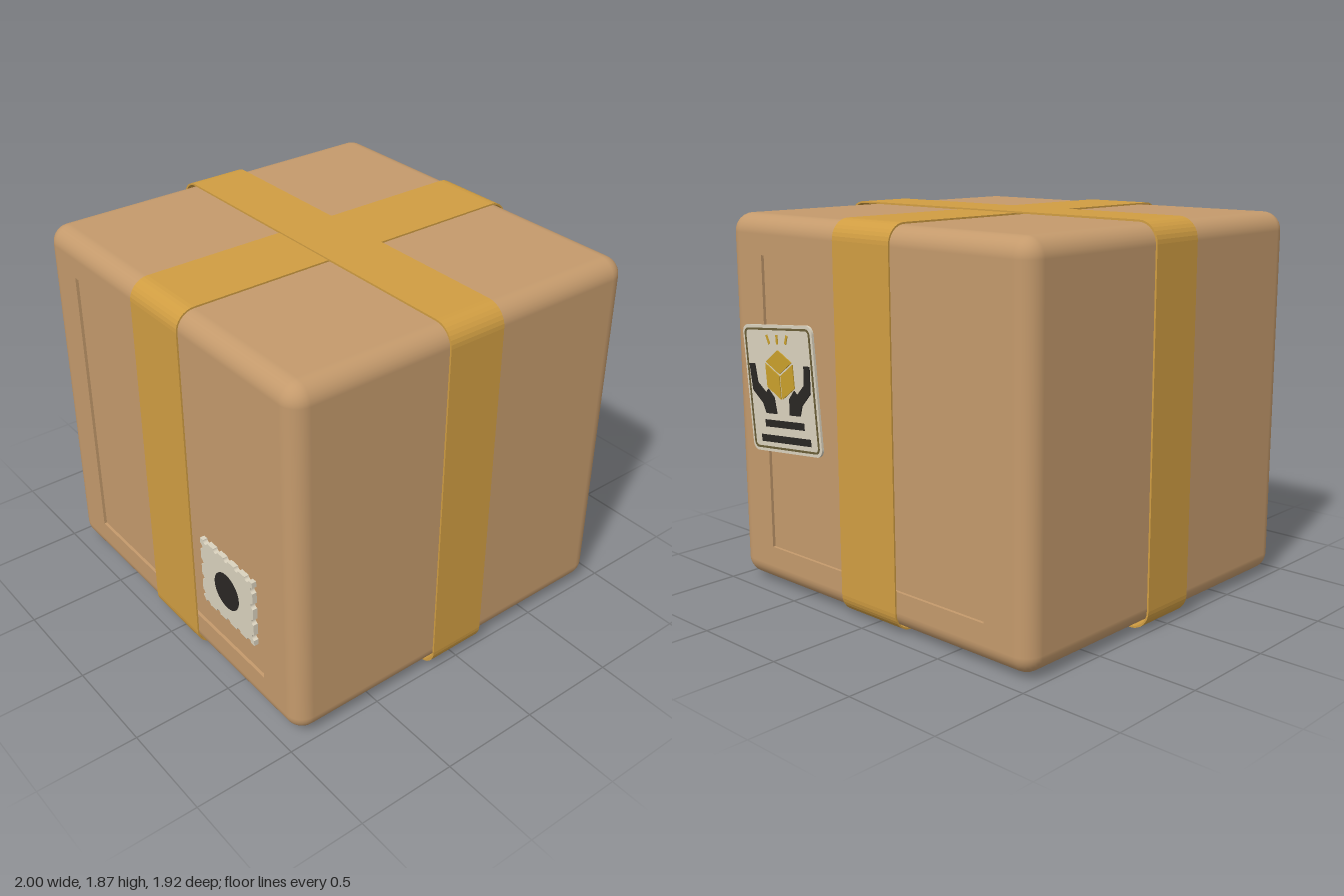
import * as THREE from 'three';

const mat = (color, extra = {}) => new THREE.MeshStandardMaterial({ color, ...extra });
const CARD = mat(0xc49a6c), TAPE = mat(0xd09d42), PAPER = mat(0xdad2be);
const DARK = mat(0x2a2724), GOLD = mat(0xc9a02c), OLIVE = mat(0x6b5f38);
const HX = 0.98, HY = 0.915, HZ = 0.945, R = 0.09, CY = 0.935; // carton half sizes
const PANEL = 0.725, DEPTH = 0.015;                            // recessed panels

function add(parent, name, geo, material, x = 0, y = 0, z = 0) {
  const m = new THREE.Mesh(geo, material);
  m.name = name;
  m.position.set(x, y, z);
  parent.add(m);
  return m;
}

const extrude = (shape, depth, curveSegments = 8) =>
  new THREE.ExtrudeGeometry(shape, { depth, bevelEnabled: false, curveSegments });

function roundRect(hx, hy, r, Type = THREE.Shape) {
  const s = new Type();
  [[1, -1], [1, 1], [-1, 1], [-1, -1]].forEach(([sx, sy], i) =>
    s.absarc(sx * (hx - r), sy * (hy - r), r, (i - 1) * Math.PI / 2, i * Math.PI / 2, false));
  s.closePath();
  return s;
}

function frame(hx, hy, r, t) {
  const s = roundRect(hx, hy, r);
  s.holes.push(roundRect(hx - t, hy - t, r - t, THREE.Path));
  return s;
}

const polygon = pts => new THREE.Shape(pts.map(p => new THREE.Vector2(...p)));

// Rounded carton skin: rounded-rectangle loops from back to front, open at both panels
function cartonGeometry() {
  const K = 8, pos = [], nor = [], idx = [];
  const loops = [];
  for (const s of [-1, 1]) {
    const half = [{ hx: PANEL, hy: PANEL, r: 0, z: s * HZ, a: s * Math.PI / 2 }];
    for (let k = K; k >= 0; k--) {
      const a = s * k / K * Math.PI / 2, r = R * Math.cos(a);
      half.push({ hx: HX - R + r, hy: HY - R + r, r, z: s * (HZ - R) + R * Math.sin(a), a });
    }
    loops.push(...(s < 0 ? half : half.reverse()));
  }
  const corners = [[1, 1], [-1, 1], [-1, -1], [1, -1]];
  const n = 4 * (K + 1);
  loops.forEach(({ hx, hy, r, z, a }, i) => {
    corners.forEach(([sx, sy], q) => {
      for (let k = 0; k <= K; k++) {
        const f = (q + k / K) * Math.PI / 2, c = Math.cos(f), s = Math.sin(f);
        pos.push(sx * (hx - r) + r * c, sy * (hy - r) + r * s, z);
        nor.push(c * Math.cos(a), s * Math.cos(a), Math.sin(a));
      }
    });
    if (i === loops.length - 1) return;
    for (let j = 0; j < n; j++) {
      const p = i * n + j, q = i * n + (j + 1) % n;
      idx.push(p, q, q + n, p, q + n, p + n);
    }
  });
  const g = new THREE.BufferGeometry();
  g.setAttribute('position', new THREE.Float32BufferAttribute(pos, 3));
  g.setAttribute('normal', new THREE.Float32BufferAttribute(nor, 3));
  g.setIndex(idx);
  return g;
}

// Recessed panel: floor and four thin walls facing inward
function recess() {
  const g = new THREE.Group();
  g.name = 'recessedPanel';
  add(g, 'panelFloor', new THREE.PlaneGeometry(2 * PANEL, 2 * PANEL), CARD, 0, 0, -DEPTH);
  for (let i = 0; i < 4; i++) {
    const wall = new THREE.PlaneGeometry(2 * PANEL, DEPTH);
    wall.rotateX(Math.PI / 2).translate(0, PANEL, -DEPTH / 2).rotateZ(i * Math.PI / 2);
    add(g, 'panelWall', wall, CARD);
  }
  return g;
}

// Stamp outline with half-round notches on every side
function stampShape(w, h, r) {
  const s = new THREE.Shape();
  const sides = [[-w / 2, -h / 2, w, 5], [w / 2, -h / 2, h, 4], [w / 2, h / 2, w, 5], [-w / 2, h / 2, h, 4]];
  sides.forEach(([x, y, len, count], i) => {
    const d = i * Math.PI / 2;
    if (i) s.lineTo(x, y); else s.moveTo(x, y);
    for (let k = 0; k < count; k++) {
      const t = len * (k + 0.5) / count;
      s.absarc(x + Math.cos(d) * t, y + Math.sin(d) * t, r, d + Math.PI, d, true);
    }
  });
  s.closePath();
  return s;
}

// Care label: bordered card with a small box held between two hands
function careLabel() {
  const g = new THREE.Group();
  g.name = 'careLabel';
  const T = 0.012;
  add(g, 'labelCard', extrude(roundRect(0.265, 0.31, 0.04), T), PAPER);
  add(g, 'labelBorder', extrude(frame(0.25, 0.295, 0.03, 0.01), 0.003), OLIVE, 0, 0, T);
  for (let i = 0; i < 3; i++) {
    const a = Math.PI / 6 + i * Math.PI * 2 / 3, r = 0.12;
    const at = k => [r * Math.cos(a + k * Math.PI / 3), r * Math.sin(a + k * Math.PI / 3)];
    const face = extrude(polygon([[0, 0], at(0), at(1), at(2)]), 0.005);
    face.scale(0.95, 0.95, 1).translate(at(1)[0] * 0.05, at(1)[1] * 0.05, 0);
    add(g, 'boxIconFace', face, GOLD, 0, 0.07, T);
    const ray = add(g, 'ray', new THREE.BoxGeometry(0.014, 0.045, 0.006), GOLD, (i - 1) * 0.07, 0.24, T);
    ray.rotation.z = (1 - i) * 0.4;
  }
  for (const s of [-1, 1]) {
    const pts = [[0.23, 0.12], [0.19, 0.12], [0.18, 0.03], [0.12, -0.02], [0.1, 0.0],
      [0.06, -0.04], [0.05, -0.12], [0.13, -0.12], [0.15, -0.07], [0.22, -0.01]];
    add(g, 'hand', extrude(polygon(pts.map(([x, y]) => [s * x, y])), 0.006), DARK, 0, 0, T);
  }
  add(g, 'printBar', new THREE.BoxGeometry(0.3, 0.035, 0.004), DARK, 0, -0.17, T);
  add(g, 'printBar', new THREE.BoxGeometry(0.38, 0.035, 0.004), DARK, 0, -0.245, T);
  return g;
}

export function createModel() {
  const model = new THREE.Group();
  model.name = 'parcel';

  // Carton with a recessed panel front and back
  add(model, 'carton', cartonGeometry(), CARD, 0, CY, 0);
  for (const s of [1, -1]) {
    const p = recess();
    p.position.set(0, CY, s * HZ);
    if (s < 0) p.rotation.y = Math.PI;
    model.add(p);
  }

  // Two crossing bands of tape
  const bandX = extrude(frame(1.0, 0.934, 0.1, 0.009), 0.3, 4).translate(0, 0, -0.15);
  add(model, 'tapeAroundSides', bandX, TAPE, 0, CY - 0.001, 0);
  const bandZ = extrude(frame(0.957, 0.926, 0.095, 0.008), 0.37, 4).translate(0, 0, -0.185);
  add(model, 'tapeAroundFront', bandZ, TAPE, 0, CY, 0).rotation.y = Math.PI / 2;

  // Stamp low on the front
  const stamp = new THREE.Group();
  stamp.name = 'stamp';
  stamp.position.set(0.465, 0.55, HZ - DEPTH);
  add(stamp, 'stampPaper', extrude(stampShape(0.41, 0.365, 0.016), 0.024), PAPER);
  add(stamp, 'stampDot', new THREE.CylinderGeometry(0.095, 0.095, 0.006, 40).rotateX(Math.PI / 2), DARK, 0, 0, 0.024);
  model.add(stamp);

  // Label on the back, slightly turned
  const label = careLabel();
  label.position.set(0.59, 1.03, -HZ);
  label.rotation.set(0, Math.PI, 0.09);
  model.add(label);

  // Small printed marks under one corner
  const marks = new THREE.Group();
  marks.name = 'bottomMarks';
  marks.position.set(-0.78, CY - HY - 0.002, 0.76);
  marks.rotation.x = Math.PI / 2;
  for (const [x, y] of [[0.05, 0.04], [-0.05, 0.03]])
    add(marks, 'ringMark', new THREE.RingGeometry(0.022, 0.038, 24), mat(0x2a2724, { side: THREE.DoubleSide }), x, y);
  for (const x of [-0.06, -0.02])
    add(marks, 'barMark', new THREE.BoxGeometry(0.014, 0.07, 0.002), DARK, x, -0.09);
  model.add(marks);

  return model;
}
